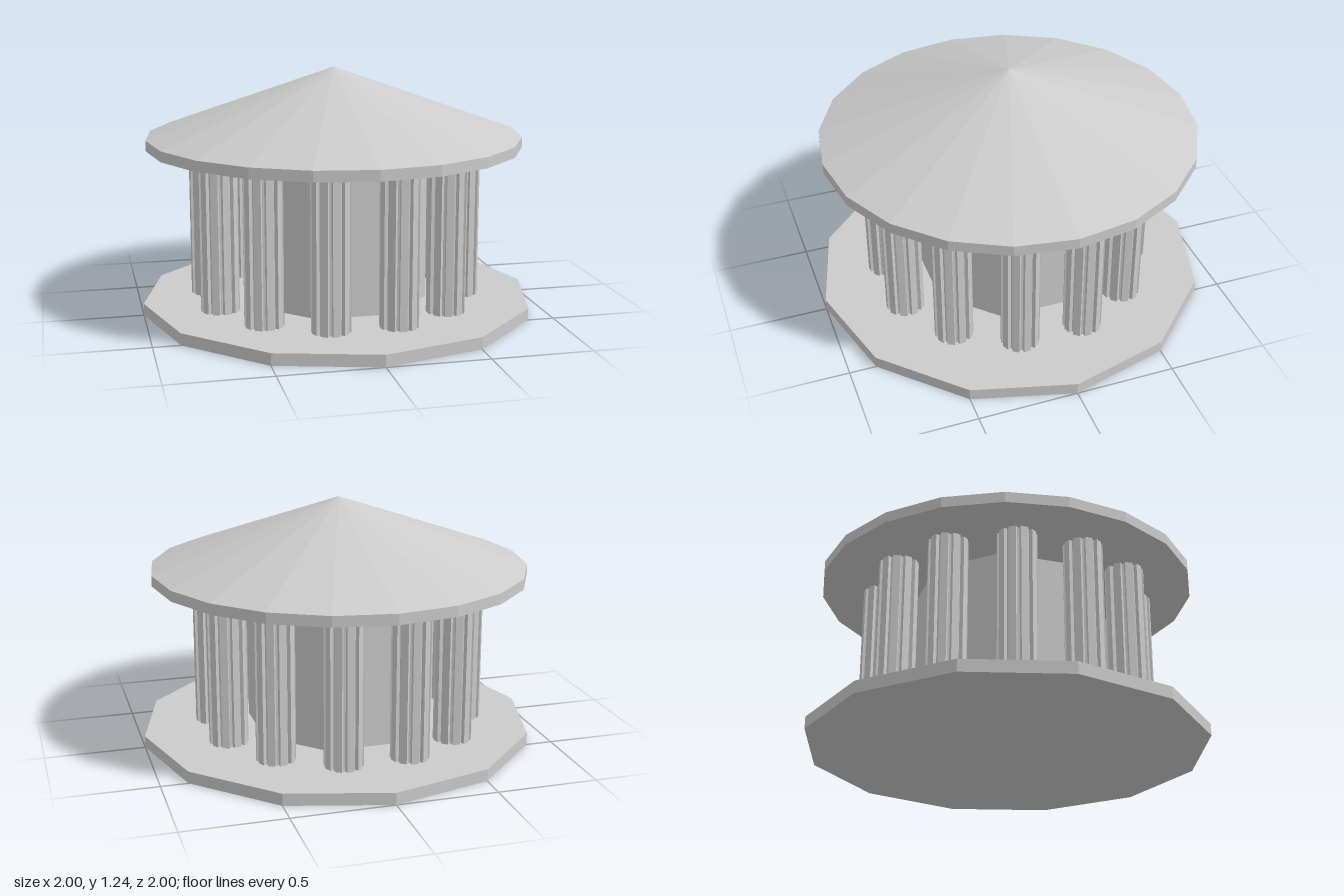
import * as THREE from 'three';

const material = new THREE.MeshStandardMaterial({ color: 0xcccccc, flatShading: true });

// Flat-sided prism or cone standing on y = bottom
function prism(name, topRadius, radius, bottom, top, sides, turn = 0) {
  const geometry = new THREE.CylinderGeometry(topRadius, radius, top - bottom, sides);
  geometry.rotateY(turn);
  geometry.translate(0, (top + bottom) / 2, 0);
  const mesh = new THREE.Mesh(geometry, material);
  mesh.name = name;
  return mesh;
}

// Fluted shaft: a toothed outline extruded upwards
function flutedGeometry(outer, inner, flutes, height) {
  const points = [];
  const step = (Math.PI * 2) / flutes;
  for (let i = 0; i < flutes; i++) {
    for (const [part, r] of [[-0.3, outer], [0.3, outer], [0.4, inner], [0.6, inner]]) {
      const a = (i + part) * step;
      points.push(new THREE.Vector2(Math.cos(a) * r, Math.sin(a) * r));
    }
  }
  const geometry = new THREE.ExtrudeGeometry(new THREE.Shape(points), { depth: height, bevelEnabled: false });
  geometry.rotateX(-Math.PI / 2);
  return geometry;
}

export function createModel() {
  const model = new THREE.Group();
  model.name = 'roundTemple';

  // Twelve-sided base
  model.add(prism('base', 1, 1, 0, 0.06, 12));

  // Building above the base, set very slightly off its middle
  const upper = new THREE.Group();
  upper.name = 'upperBuilding';
  upper.position.set(-0.015, 0, 0);
  model.add(upper);

  // Eight-sided inner chamber
  upper.add(prism('innerChamber', 0.475, 0.475, 0.06, 0.84, 8, Math.PI / 8));

  // Ring of twelve fluted columns
  const columns = new THREE.Group();
  columns.name = 'columns';
  const shaft = flutedGeometry(0.097, 0.08, 10, 0.78);
  for (let i = 0; i < 12; i++) {
    const angle = ((i + 0.5) / 12) * Math.PI * 2 + 0.02;
    const column = new THREE.Mesh(shaft, material);
    column.name = 'column';
    column.position.set(Math.sin(angle) * 0.645, 0.06, Math.cos(angle) * 0.645);
    column.rotation.y = angle;
    columns.add(column);
  }
  upper.add(columns);

  // Twenty-sided roof: rim slab and shallow cone
  const roof = new THREE.Group();
  roof.name = 'roof';
  roof.position.z = -0.008;
  roof.add(prism('roofRim', 0.95, 0.95, 0.84, 0.893, 20));
  roof.add(prism('roofCone', 0, 0.95, 0.893, 1.235, 20));
  upper.add(roof);

  return model;
}
